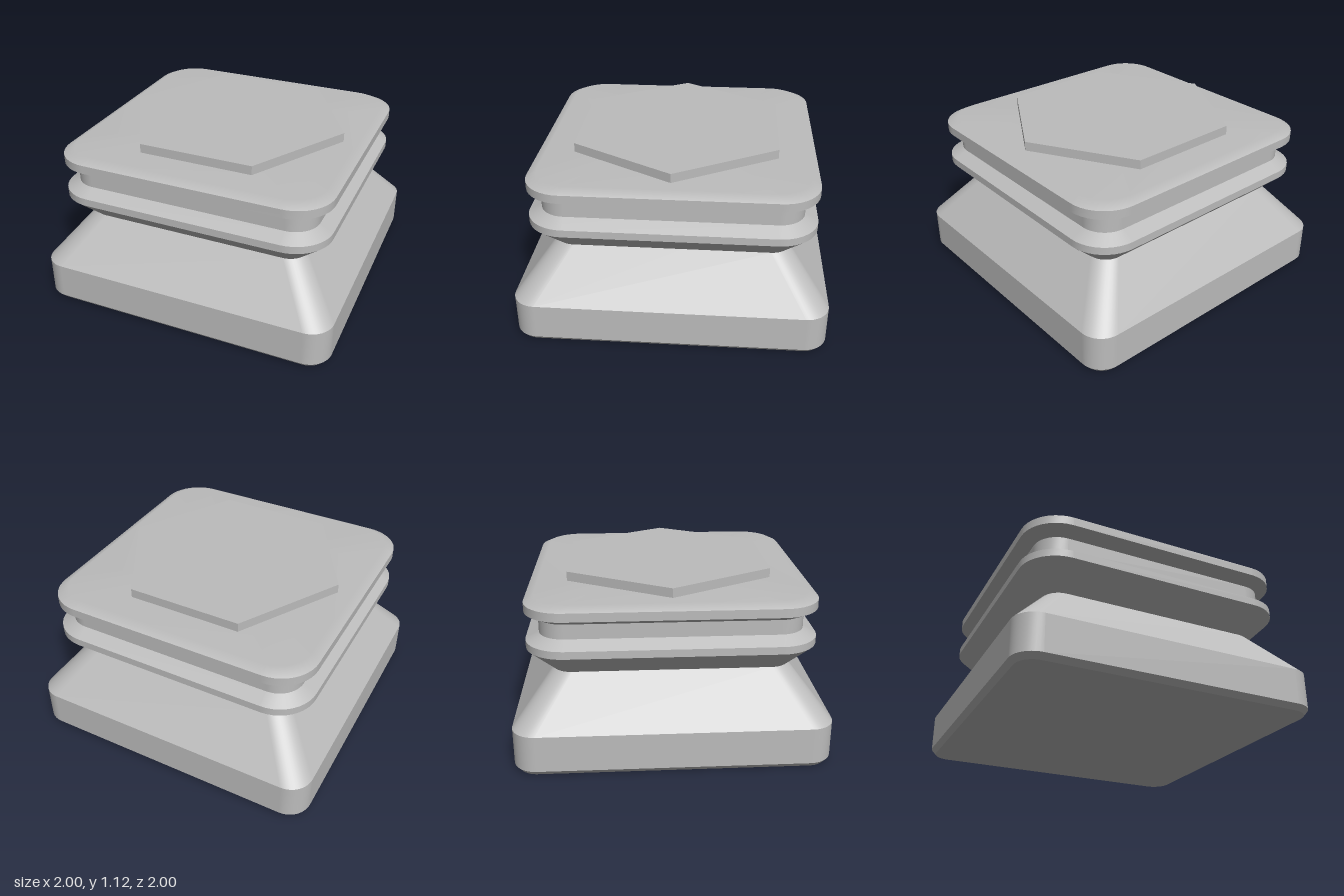
import * as THREE from 'three';
import { mergeGeometries } from 'three/addons/utils/BufferGeometryUtils.js';

const CORNER_STEPS = 10;

// Outline of a rounded square: half width h, corner radius r
function ring([h, r, y]) {
  const points = [];
  for (let corner = 0; corner < 4; corner++) {
    const mid = (corner + 0.5) * Math.PI / 2;
    const cx = Math.sign(Math.cos(mid)) * (h - r);
    const cz = Math.sign(Math.sin(mid)) * (h - r);
    for (let i = 0; i <= CORNER_STEPS; i++) {
      const a = (corner + i / CORNER_STEPS) * Math.PI / 2;
      points.push(cx + r * Math.cos(a), y, cz + r * Math.sin(a));
    }
  }
  return points;
}

// Smooth skin through a few outlines, from bottom to top
function band(rows) {
  const n = 4 * (CORNER_STEPS + 1);
  const index = [];
  for (let i = 0; i < rows.length - 1; i++) {
    for (let j = 0; j < n; j++) {
      const a = i * n + j, b = i * n + (j + 1) % n;
      index.push(a, a + n, b, b, a + n, b + n);
    }
  }
  const geometry = new THREE.BufferGeometry();
  geometry.setAttribute('position', new THREE.Float32BufferAttribute(rows.flatMap(ring), 3));
  geometry.setIndex(index);
  geometry.computeVertexNormals();
  return geometry;
}

// Separate bands keep the edges between them sharp
function stack(rows) {
  return mergeGeometries(rows.slice(1).map((row, i) => band([rows[i], row])));
}

export function createModel() {
  const group = new THREE.Group();
  const grey = new THREE.MeshStandardMaterial({ color: 0xbcbcbc });
  grey.name = 'grey';
  const add = (name, geometry) => {
    const mesh = new THREE.Mesh(geometry, grey);
    mesh.name = name;
    group.add(mesh);
    return mesh;
  };

  // Base block with a small bottom chamfer and sloping shoulders
  add('base', stack([
    [0, 0, 0], [0.97, 0.12, 0], [1, 0.15, 0.035], [1, 0.15, 0.273], [0.745, 0.12, 0.585],
  ]));
  // Flared lower rim
  add('lowerRim', stack([
    [0.745, 0.12, 0.585], [0.905, 0.25, 0.738], [0.905, 0.25, 0.787], [0.82, 0.165, 0.833],
  ]));
  // Recessed neck
  add('neck', stack([[0.82, 0.165, 0.833], [0.82, 0.165, 0.928]]));
  // Upper rim
  add('upperRim', stack([[0.82, 0.165, 0.928], [0.905, 0.25, 0.972], [0.905, 0.25, 1.028]]));
  // Top plate, softly bevelled
  add('topPlate', band([[0.905, 0.25, 1.028], [0.845, 0.22, 1.06], [0, 0, 1.06]]));

  // Hexagonal pad with points to the sides
  const hexagon = new THREE.CylinderGeometry(0.757, 0.757, 0.06, 6).toNonIndexed();
  hexagon.computeVertexNormals();
  hexagon.rotateY(Math.PI / 6);
  add('hexagonPad', hexagon).position.y = 1.09;

  return group;
}
